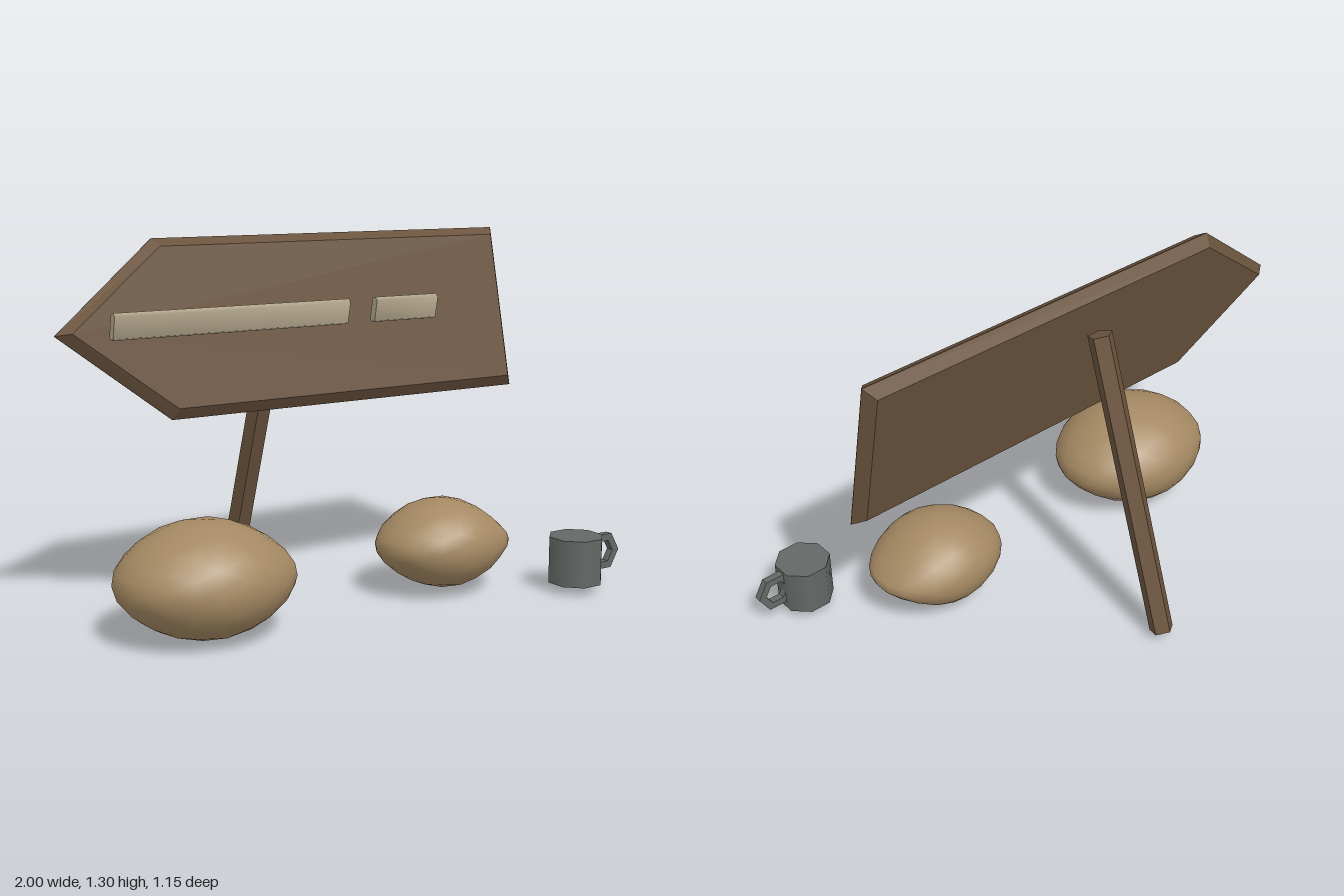
import * as THREE from 'three';
import { mergeVertices } from 'three/addons/utils/BufferGeometryUtils.js';

const material = (name, color) => {
  const m = new THREE.MeshStandardMaterial({ color });
  m.name = name;
  return m;
};

const shapeOf = (points) => new THREE.Shape(points.map(([x, y]) => new THREE.Vector2(x, y)));

const hexagon = (r) => Array.from({ length: 6 }, (_, i) =>
  [r * Math.cos(i * Math.PI / 3), r * Math.sin(i * Math.PI / 3)]);

// Faceted copy of a geometry
function faceted(geometry) {
  const g = geometry.toNonIndexed();
  g.computeVertexNormals();
  return g;
}

// Smooth boulder, pinched in height towards its right (+x) and left (-x) ends
function boulderGeometry(a, b, c, pinchPlus, pinchMinus) {
  let g = new THREE.IcosahedronGeometry(1, 3);
  g.deleteAttribute('uv');
  g.deleteAttribute('normal');
  g = mergeVertices(g, 1e-4);
  const p = g.attributes.position;
  for (let i = 0; i < p.count; i++) {
    const x = p.getX(i);
    const k = x > 0 ? pinchPlus : pinchMinus;
    p.setXYZ(i, x * a, p.getY(i) * b * (1 - k * x * x), p.getZ(i) * c);
  }
  g.computeVertexNormals();
  return g;
}

// Slim bar along x with a flattened six-sided section
function barGeometry(length) {
  const g = new THREE.CylinderGeometry(1, 1, length, 6, 1, false, Math.PI);
  const p = g.attributes.position;
  for (let i = 0; i < p.count; i++) {
    const t = p.getZ(i), n = p.getX(i);
    const h = Math.abs(t) > 0.9 ? 0.047 : Math.abs(t) > 0.3 ? 0.038 : 0;
    // section: height on y, thickness on z, length on x
    p.setXYZ(i, p.getY(i), Math.sign(t) * h, n * 0.0165);
  }
  g.computeVertexNormals();
  return g;
}

export function createModel() {
  const model = new THREE.Group();
  const wood = material('wood', 0x6b543e);
  const stone = material('stone', 0xa58963);
  const metal = material('metal', 0x656866);
  const pale = material('pale wood', 0xb8ab90);

  const add = (name, geometry, mat, position, tilt = 0, parent = model) => {
    const mesh = new THREE.Mesh(geometry, mat);
    mesh.name = name;
    mesh.position.set(...position);
    mesh.rotation.x = tilt;
    parent.add(mesh);
    return mesh;
  };

  // Arrow board with chamfered edges, leaning back
  const arrow = shapeOf([[-1, 0], [-0.61, -0.309], [0.87, -0.309], [0.87, 0.309], [-0.61, 0.309]]);
  const board = new THREE.ExtrudeGeometry(arrow, {
    depth: 0.002, bevelEnabled: true, bevelSegments: 1,
    bevelThickness: 0.038, bevelSize: 0.034, bevelOffset: -0.034,
  });
  board.translate(0, 0, -0.001);
  add('arrowBoard', board, wood, [0, 1.008, -0.0635], -0.22);

  // Two pale bars floating before the board
  for (const [name, x0, x1] of [['longBar', -0.845, 0.075], ['shortBar', 0.19, 0.465]]) {
    add(name, barGeometry(x1 - x0), pale, [(x0 + x1) / 2, 1.039, 0.045], 0.2);
  }

  // Five-sided leaning post
  const post = faceted(new THREE.CylinderGeometry(0.045, 0.045, 1.152, 5, 1, false, Math.PI));
  add('post', post, wood, [-0.066, 0.588, -0.354], 0.317);

  // Boulders
  add('largeBoulder', boulderGeometry(0.32, 0.2, 0.268, 0.3, 0.2), stone, [-0.605, 0.205, 0.21]);
  add('smallBoulder', boulderGeometry(0.264, 0.165, 0.213, 0.6, 0.3), stone, [0.395, 0.187, 0.2]);

  // Mug: solid eight-sided body and six-sided ring handle
  const mug = new THREE.Group();
  mug.name = 'mug';
  model.add(mug);
  const body = new THREE.CylinderGeometry(0.102, 0.102, 0.172, 8, 1, false, Math.PI / 8);
  add('mugBody', body, metal, [0.797, 0.124, 0.481], 0, mug);
  const ring = shapeOf(hexagon(0.075));
  ring.holes.push(shapeOf(hexagon(0.045)));
  const handle = new THREE.ExtrudeGeometry(ring, { depth: 0.028, bevelEnabled: false });
  handle.translate(0, 0, -0.014);
  add('mugHandle', handle, metal, [0.925, 0.134, 0.481], 0, mug);

  return model;
}
